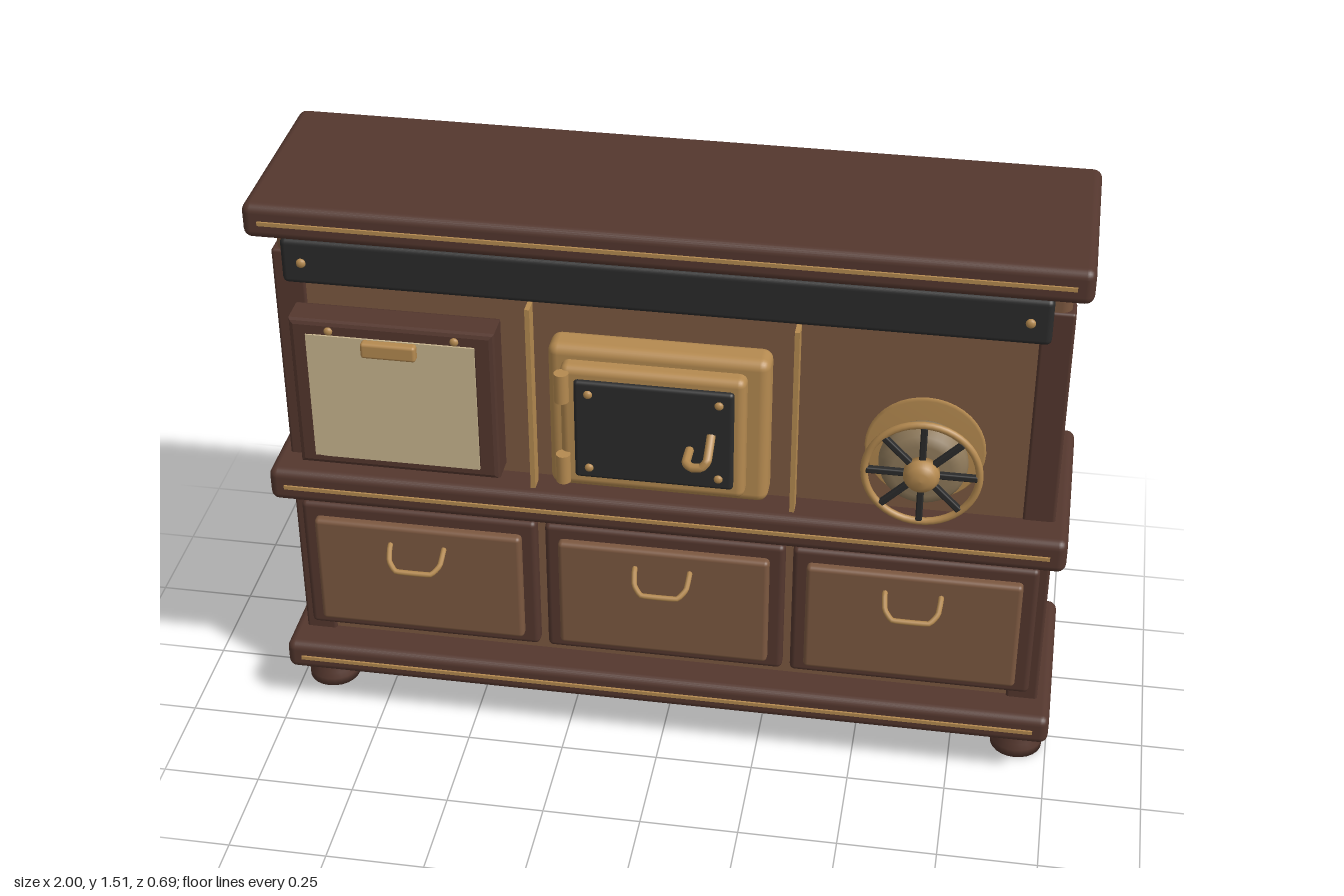
import * as THREE from 'three';
import { RoundedBoxGeometry } from 'three/addons/geometries/RoundedBoxGeometry.js';

const mat = (name, color) => {
  const m = new THREE.MeshStandardMaterial({ color });
  m.name = name;
  return m;
};

export function createModel() {
  const root = new THREE.Group();
  root.name = 'cabinet';
  const darkWood = mat('dark wood', 0x54372e);
  const wood = mat('wood', 0x7c5840);
  const brass = mat('brass', 0xb58a50);
  const iron = mat('black iron', 0x2b2b2b);
  const paper = mat('paper', 0xc9b68f);
  const rope = mat('rope', 0x8e795a);

  const group = (name, parent = root) => {
    const g = new THREE.Group();
    g.name = name;
    parent.add(g);
    return g;
  };
  const add = (name, geo, material, parent = root) => {
    const m = new THREE.Mesh(geo, material);
    m.name = name;
    parent.add(m);
    return m;
  };
  // box given by its extents, with rounded edges when r > 0
  const box = (name, material, [x0, x1], [y0, y1], [z0, z1], r = 0, parent = root) => {
    const w = x1 - x0, h = y1 - y0, d = z1 - z0;
    const geo = r ? new RoundedBoxGeometry(w, h, d, 3, r) : new THREE.BoxGeometry(w, h, d);
    const m = add(name, geo, material, parent);
    m.position.set((x0 + x1) / 2, (y0 + y1) / 2, (z0 + z1) / 2);
    return m;
  };
  // rectangular frame with an opening, extruded forward
  const frame = (name, material, [x0, x1], [y0, y1], [z0, z1], border, bevel, parent = root) => {
    const rect = (S, a, b, c, d) =>
      new S([[a, c], [b, c], [b, d], [a, d]].map(p => new THREE.Vector2(...p)));
    const s = rect(THREE.Shape, x0 + bevel, x1 - bevel, y0 + bevel, y1 - bevel);
    s.holes.push(rect(THREE.Path, x0 + border, x1 - border, y0 + border, y1 - border));
    const geo = new THREE.ExtrudeGeometry(s, {
      depth: z1 - z0 - 2 * bevel, bevelSize: bevel, bevelThickness: bevel, bevelSegments: 2,
    });
    geo.translate(0, 0, z0 + bevel);
    return add(name, geo, material, parent);
  };
  const rivet = (x, y, z, parent, r = 0.011) => {
    const m = add('rivet', new THREE.SphereGeometry(r, 12, 8), brass, parent);
    m.position.set(x, y, z);
    m.scale.z = 0.7;
  };
  const tube = (name, pts, r, material, parent) => {
    const path = new THREE.CurvePath();
    const v = pts.map(p => new THREE.Vector3(...p));
    const curve = new THREE.CatmullRomCurve3(v, false, 'catmullrom', 0.15);
    path.add(curve);
    return add(name, new THREE.TubeGeometry(curve, 28, r, 8), material, parent);
  };

  // carcass
  box('body', wood, [-0.955, 0.955], [0.125, 1.455], [-0.345, 0.09], 0.025);
  for (const s of [-1, 1]) {
    const xs = s < 0 ? [-0.965, -0.885] : [0.885, 0.965];
    box('upperPost', darkWood, xs, [0.7, 1.345], [0.03, 0.095], 0.008);
    box('lowerPost', darkWood, xs, [0.105, 0.7], [0.03, 0.1], 0.008);
  }

  // shelves with brass inlay strips
  for (const [name, y0, y1, yl] of [
    ['topSlab', 1.42, 1.51, 1.465], ['middleSlab', 0.663, 0.755, 0.709], ['bottomSlab', 0.12, 0.202, 0.161],
  ]) {
    box(name, darkWood, [-1, 1], [y0, y1], [-0.335, 0.185], 0.022);
    box(name + 'Inlay', brass, [-0.96, 0.96], [yl - 0.005, yl + 0.005], [0.182, 0.19]);
  }

  // iron rail under the top
  const rail = group('rail');
  box('railBar', iron, [-0.913, 0.913], [1.305, 1.425], [0.128, 0.182], 0.014, rail);
  for (const s of [-1, 1]) rivet(s * 0.862, 1.365, 0.184, rail, 0.012);

  // turned feet
  const footProfile = [[0, 0], [0.067, 0], [0.067, 0.022], [0.058, 0.034], [0.057, 0.05], [0.05, 0.058],
    [0.049, 0.075], [0.042, 0.1], [0.046, 0.112], [0.046, 0.13]].map(p => new THREE.Vector2(...p));
  for (const x of [-0.922, 0.922]) for (const z of [0.032, -0.253])
    add('foot', new THREE.LatheGeometry(footProfile, 24), darkWood).position.set(x, 0, z);

  // drawers with sloping bail handles
  for (const x of [-0.636, 0, 0.634]) {
    const d = group('drawer');
    d.position.x = x;
    box('drawerFrame', darkWood, [-0.307, 0.307], [0.232, 0.62], [0.08, 0.122], 0.014, d);
    box('drawerPanel', wood, [-0.27, 0.27], [0.265, 0.583], [0.1, 0.145], 0.012, d);
    tube('drawerHandle', [[-0.07, 0.531, 0.14], [-0.07, 0.525, 0.155], [-0.066, 0.502, 0.18], [-0.045, 0.485, 0.198],
      [0.045, 0.485, 0.198], [0.066, 0.502, 0.18], [0.07, 0.525, 0.155], [0.07, 0.531, 0.14]], 0.007, brass, d);
  }

  // brass dividers
  for (const x of [-0.324, 0.324])
    box('divider', brass, [x - 0.006, x + 0.006], [0.75, 1.27], [0.115, 0.155]);

  // notice board with papers and clip
  const board = group('noticeBoard');
  box('boardBack', darkWood, [-0.89, -0.405], [0.815, 1.21], [0.115, 0.19], 0, board);
  frame('boardFrame', darkWood, [-0.902, -0.396], [0.806, 1.22], [0.115, 0.206], 0.045, 0.012, board);
  box('backPaper', paper, [-0.86, -0.46], [0.835, 1.183], [0.205, 0.21], 0, board);
  box('frontPaper', paper, [-0.838, -0.442], [0.838, 1.187], [0.211, 0.216], 0, board);
  box('clip', brass, [-0.718, -0.582], [1.145, 1.187], [0.212, 0.238], 0.008, board);
  for (const x of [-0.802, -0.492]) rivet(x, 1.196, 0.208, board);

  // firebox door
  const fire = group('firebox');
  box('fireboxSurround', brass, [-0.268, 0.268], [0.805, 1.208], [0.12, 0.205], 0.025, fire);
  box('fireboxDoor', brass, [-0.232, 0.216], [0.838, 1.175], [0.18, 0.243], 0.02, fire);
  box('doorPlate', iron, [-0.196, 0.19], [0.871, 1.145], [0.225, 0.255], 0.01, fire);
  for (const x of [-0.16, 0.155]) for (const y of [0.903, 1.112]) rivet(x, y, 0.256, fire);
  for (const y of [0.895, 1.125])
    add('hinge', new THREE.CylinderGeometry(0.018, 0.018, 0.078, 16), brass, fire).position.set(-0.224, y, 0.252);
  tube('latch', [[0.085, 0.98, 0.25], [0.085, 0.98, 0.31], [0.1, 0.978, 0.325], [0.125, 0.983, 0.33],
    [0.138, 1.0, 0.325], [0.14, 1.04, 0.275]], 0.011, brass, fire);

  // spoked reel facing the front
  const reel = group('reel');
  reel.position.set(0.642, 1.01, 0);
  const lathe = (name, pts, material) => {
    const m = add(name, new THREE.LatheGeometry(pts.map(p => new THREE.Vector2(...p)), 40), material, reel);
    m.rotation.x = Math.PI / 2;
    return m;
  };
  lathe('reelAxle', [[0, 0.08], [0.035, 0.08], [0.035, 0.32], [0, 0.32]], brass);
  lathe('reelBackPlate', [[0, 0.196], [0.138, 0.196], [0.144, 0.204], [0.138, 0.212], [0, 0.212]], brass);
  lathe('ropeCoil', [[0, 0.212], [0.07, 0.212], [0.092, 0.222], [0.103, 0.24], [0.106, 0.26],
    [0.103, 0.278], [0.092, 0.295], [0.07, 0.303], [0, 0.303]], rope);
  add('reelRim', new THREE.TorusGeometry(0.135, 0.009, 10, 48), brass, reel).position.z = 0.31;
  lathe('reelHub', [[0, 0.3], [0.043, 0.3], [0.043, 0.322], [0.035, 0.337], [0.02, 0.345], [0, 0.347]], brass);
  for (let i = 0; i < 8; i++) {
    const arm = group('spokeArm', reel);
    arm.rotation.z = i * Math.PI / 4;
    box('spoke', iron, [0.035, 0.132], [-0.008, 0.008], [0.302, 0.318], 0.004, arm);
  }
  return root;
}
